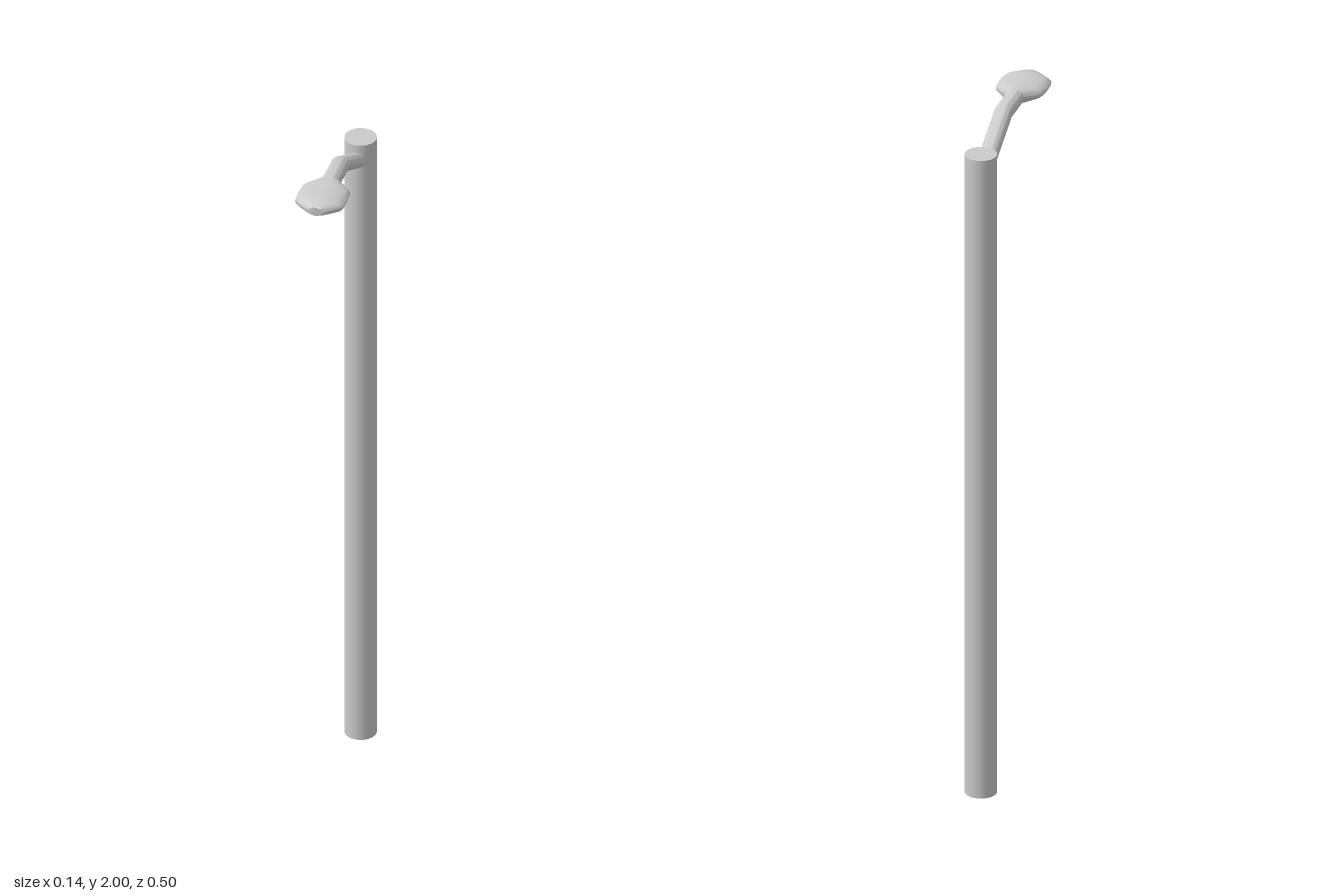
import * as THREE from 'three';
import { toCreasedNormals } from 'three/addons/utils/BufferGeometryUtils.js';

const material = new THREE.MeshStandardMaterial({ color: 0xcccccc });
const SIDES = 24;

// Elliptical cross-section across z; a recessed one has its underside pushed in
function ring([z, y, w, h, recessed]) {
  return Array.from({ length: SIDES }, (_, i) => {
    const a = (i / SIDES) * Math.PI * 2;
    const s = Math.sin(a);
    return [w * Math.cos(a), y + (recessed && s < -0.6 ? -0.1 * h : h * s), z];
  });
}

// Skin a row of cross-sections and close both ends
function loft(sections) {
  const pos = [], idx = [];
  sections.forEach((s) => ring(s).forEach((p) => pos.push(...p)));
  for (let r = 0; r < sections.length - 1; r++) {
    for (let i = 0; i < SIDES; i++) {
      const a = r * SIDES + i, b = r * SIDES + (i + 1) % SIDES;
      idx.push(a, b, b + SIDES, a, b + SIDES, a + SIDES);
    }
  }
  const last = (sections.length - 1) * SIDES;
  for (let i = 1; i < SIDES - 1; i++) {
    idx.push(0, i + 1, i, last, last + i, last + i + 1);
  }
  const g = new THREE.BufferGeometry();
  g.setAttribute('position', new THREE.Float32BufferAttribute(pos, 3));
  g.setIndex(idx);
  return toCreasedNormals(g, 0.7);
}

export function createModel() {
  const group = new THREE.Group();
  const add = (name, geometry) => {
    const mesh = new THREE.Mesh(geometry, material);
    mesh.name = name;
    group.add(mesh);
    return mesh;
  };

  // Upright pole at the back
  add('pole', new THREE.CylinderGeometry(0.045, 0.045, 1.94, 32)).position.set(0, 0.97, -0.205);

  // Arm rising from the pole, then running level to the head
  add('arm', loft([
    [-0.18, 1.881, 0.026, 0.025],
    [-0.005, 1.975, 0.026, 0.025],
    [0.1, 1.976, 0.026, 0.024],
  ]));

  // Flattened lamp head, hollowed underneath
  const y = 1.977;
  add('lampHead', loft([
    [0.095, y, 0.026, 0.023],
    [0.115, y, 0.05, 0.023],
    [0.13, y, 0.066, 0.023],
    [0.13, y, 0.066, 0.023, true],
    [0.14, y, 0.069, 0.023, true],
    [0.17, y, 0.071, 0.023, true],
    [0.2, y, 0.07, 0.023, true],
    [0.215, y, 0.067, 0.022, true],
    [0.225, y, 0.056, 0.02, true],
    [0.225, y, 0.056, 0.02],
    [0.24, y, 0.036, 0.017],
    [0.25, y, 0.02, 0.013],
  ]));

  return group;
}
